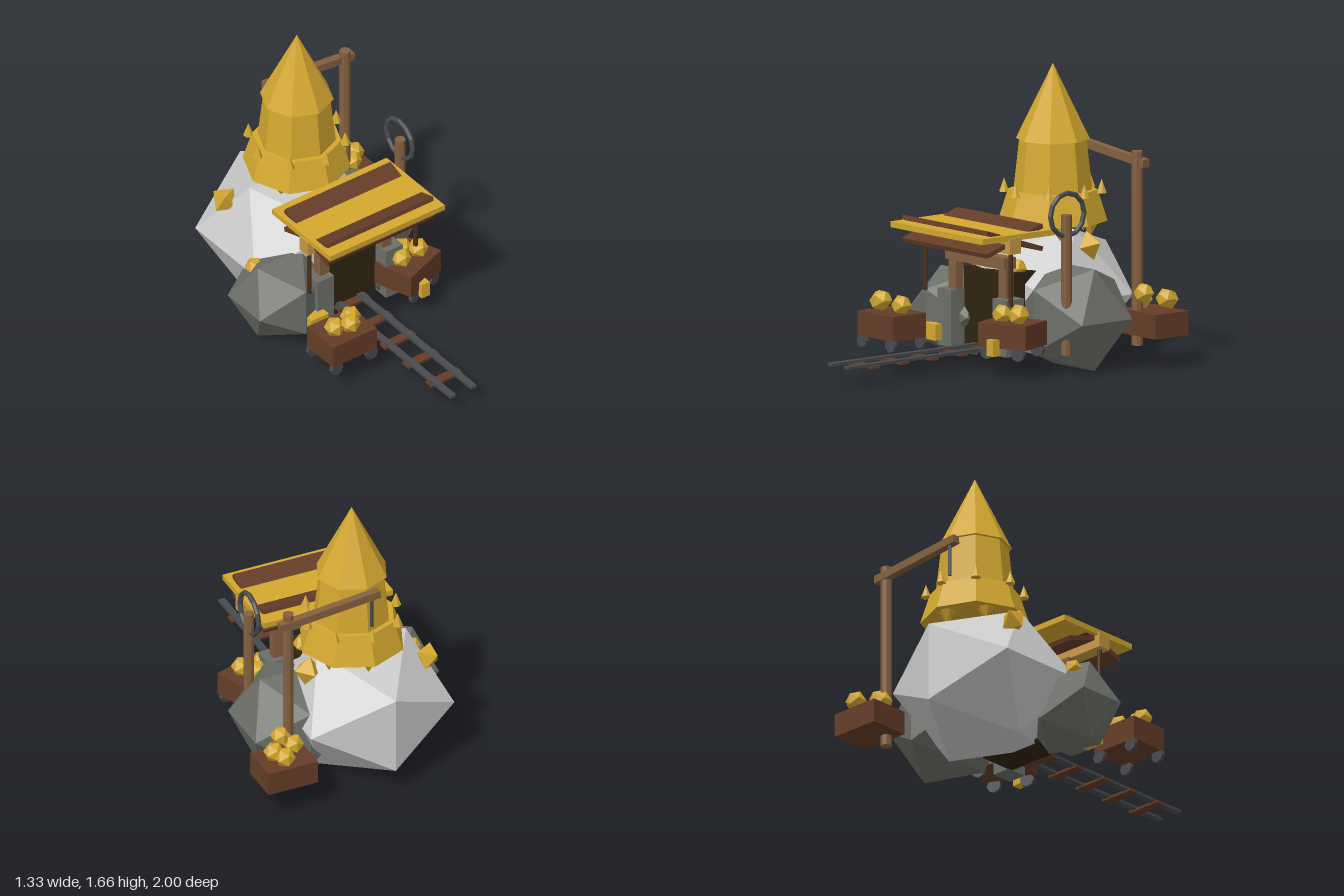
import * as THREE from 'three';

const mat = (name, color) => {
  const m = new THREE.MeshStandardMaterial({ color, flatShading: true });
  m.name = name;
  return m;
};

export function createModel() {
  const gold = mat('gold', 0xd4a82f);
  const tan = mat('tan wood', 0xc89a48);
  const paleRock = mat('pale rock', 0xcccccc);
  const darkRock = mat('dark rock', 0x6d7069);
  const wood = mat('timber', 0x84603f);
  const brown = mat('brown plank', 0x653d28);
  const darkWood = mat('dark post', 0x4a3018);
  const iron = mat('iron', 0x484a4e);
  const shadow = mat('tunnel dark', 0x2f2410);

  const model = new THREE.Group();
  model.name = 'mine';

  const add = (name, geo, material, x, y, z, parent = model) => {
    const m = new THREE.Mesh(geo, material);
    m.name = name;
    m.position.set(x, y, z);
    parent.add(m);
    return m;
  };
  // box given by its min and max corners
  const box = (name, material, x0, x1, y0, y1, z0, z1, parent = model) =>
    add(name, new THREE.BoxGeometry(x1 - x0, y1 - y0, z1 - z0), material,
      (x0 + x1) / 2, (y0 + y1) / 2, (z0 + z1) / 2, parent);
  const tube = (name, material, x, y0, y1, z, rTop, rBottom, sides = 8, parent = model) =>
    add(name, new THREE.CylinderGeometry(rTop, rBottom, y1 - y0, sides), material, x, (y0 + y1) / 2, z, parent);
  const rock = (name, material, x, y, z, rx, ry, rz) =>
    add(name, new THREE.IcosahedronGeometry(1, 0), material, x, y, z).scale.set(rx, ry, rz);
  const nugget = (x, y, z, r = 0.06, parent = model) =>
    add('nugget', new THREE.IcosahedronGeometry(r, 0), gold, x, y, z, parent);

  // Boulders
  rock('mainBoulder', paleRock, -0.1, 0.375, -0.55, 0.517, 0.44, 0.53);
  rock('leftSideBoulder', darkRock, 0.295, 0.288, -0.435, 0.336, 0.337, 0.345);
  rock('rightSideBoulder', darkRock, -0.42, 0.257, -0.2, 0.294, 0.276, 0.285);

  // Golden drill tower
  const drill = new THREE.Group();
  drill.name = 'drillTower';
  drill.position.set(-0.035, 0, -0.56);
  model.add(drill);
  tube('drillTip', gold, 0, 1.235, 1.66, 0, 0, 0.207, 8, drill);
  tube('drillBody', gold, 0, 0.93, 1.235, 0, 0.188, 0.222, 8, drill);
  tube('drillCollar', gold, 0, 0.775, 0.95, 0, 0.25, 0.305, 8, drill);
  for (let i = 0; i < 8; i++) {
    const a = (i * Math.PI) / 4;
    add('collarSpike', new THREE.ConeGeometry(0.03, 0.08, 6), gold,
      Math.sin(a) * 0.272, 0.972, Math.cos(a) * 0.272, drill);
  }
  for (let i = 0; i < 6; i++) {
    const a = (i * Math.PI) / 3;
    add('lowerTooth', new THREE.ConeGeometry(0.05, 0.09, 6), gold,
      Math.sin(a) * 0.22, 0.735, Math.cos(a) * 0.22, drill).rotation.x = Math.PI;
  }

  // Gems set in the boulders
  add('gem', new THREE.OctahedronGeometry(0.085), gold, 0.25, 0.665, -0.59).rotation.set(0.1, 0.1, 0.25);
  add('gem', new THREE.OctahedronGeometry(0.08), gold, -0.445, 0.62, -0.68).rotation.set(0.5, 0.4, 0.5);
  nugget(-0.53, 0.43, -0.29, 0.055);
  nugget(0.09, 0.56, -0.19);

  // Tunnel entrance, mirrored about x = -0.035
  box('tunnel', shadow, -0.222, 0.152, 0.1, 0.545, -0.4, -0.07);
  box('lintel', wood, -0.295, 0.215, 0.585, 0.65, -0.08, 0.005);
  for (const s of [-1, 1]) {
    const c = -0.035 + s * 0.216;
    box('doorPost', wood, c - 0.032, c + 0.032, 0.1, 0.59, -0.065, -0.01);
    const b = -0.035 + s * 0.238;
    box('stoneBlock', darkRock, b - 0.058, b + 0.058, 0.1, 0.42, -0.1, 0.03);
  }

  // Roof with two crossed planks
  box('roofPanel', gold, -0.433, 0.36, 0.775, 0.808, -0.255, 0.287);
  box('roofBeam', tan, -0.445, 0.37, 0.7, 0.79, 0.015, 0.095);
  for (const s of [-1, 1]) {
    const p = add('roofPlank', new THREE.BoxGeometry(0.732, 0.026, 0.425), brown, -0.038, 0.765, 0.022);
    p.rotation.x = s * 0.31;
  }
  for (const x of [-0.405, 0.33]) tube('roofPost', darkWood, x, 0.4, 0.72, 0.055, 0.013, 0.013);

  // Railway
  for (const x of [-0.11, 0.033]) box('rail', iron, x - 0.02, x + 0.02, 0.11, 0.127, -0.1, 1);
  for (let i = 0; i < 5; i++) {
    const z = 0.815 - i * 0.215;
    box('sleeper', brown, -0.145, 0.07, 0.1, 0.115, z - 0.028, z + 0.028);
  }

  // Ore carts: position, turn, wheel offset (0 = none)
  const cart = (name, x, z, turn, wheelX) => {
    const g = new THREE.Group();
    g.name = name;
    g.position.set(x, 0, z);
    g.rotation.y = turn;
    model.add(g);
    box('cartBody', brown, -0.152, 0.152, 0.172, 0.31, -0.121, 0.121, g);
    if (!wheelX) return;
    for (const sx of [-1, 1]) for (const sz of [-1, 1]) {
      const w = add('wheel', new THREE.CylinderGeometry(0.042, 0.042, 0.022, 8), iron, sx * wheelX, 0.147, sz * 0.108, g);
      w.rotation.x = Math.PI / 2;
    }
  };
  cart('rightCart', -0.377, 0.322, 0, 0.121);
  cart('leftCart', 0.303, 0.02, 0.35, 0.1);
  cart('rearCart', 0.51, -0.838, 0, 0);
  const ore = [
    [-0.45, 0.365, 0.35], [-0.375, 0.385, 0.395], [-0.31, 0.355, 0.31],
    [0.24, 0.345, 0.04], [0.365, 0.352, 0.03], [0.3, 0.345, -0.03],
    [0.54, 0.365, -0.915], [0.583, 0.38, -0.86], [0.44, 0.365, -0.81], [0.5, 0.41, -0.77],
  ];
  for (const [x, y, z] of ore) nugget(x, y, z);
  box('goldBar', gold, -0.41, -0.29, 0.13, 0.22, -0.02, 0.08);
  box('goldBar', gold, 0.277, 0.333, 0.13, 0.222, 0.13, 0.185);

  // Crane with hanging rope
  tube('cranePost', wood, 0.45, 0.11, 1.205, -0.765, 0.032, 0.032);
  const arm = add('craneArm', new THREE.BoxGeometry(0.615, 0.046, 0.045), wood, 0.205, 1.17, -0.778);
  arm.rotation.z = -0.1;
  tube('craneRope', iron, -0.055, 0.99, 1.19, -0.782, 0.01, 0.01, 6);

  // Wheel on its pole
  tube('wheelPole', wood, 0.45, 0.11, 0.9, -0.25, 0.031, 0.031);
  add('pulleyWheel', new THREE.TorusGeometry(0.122, 0.015, 6, 12), iron, 0.45, 0.9, -0.255).rotation.y = Math.PI / 2;

  return model;
}
